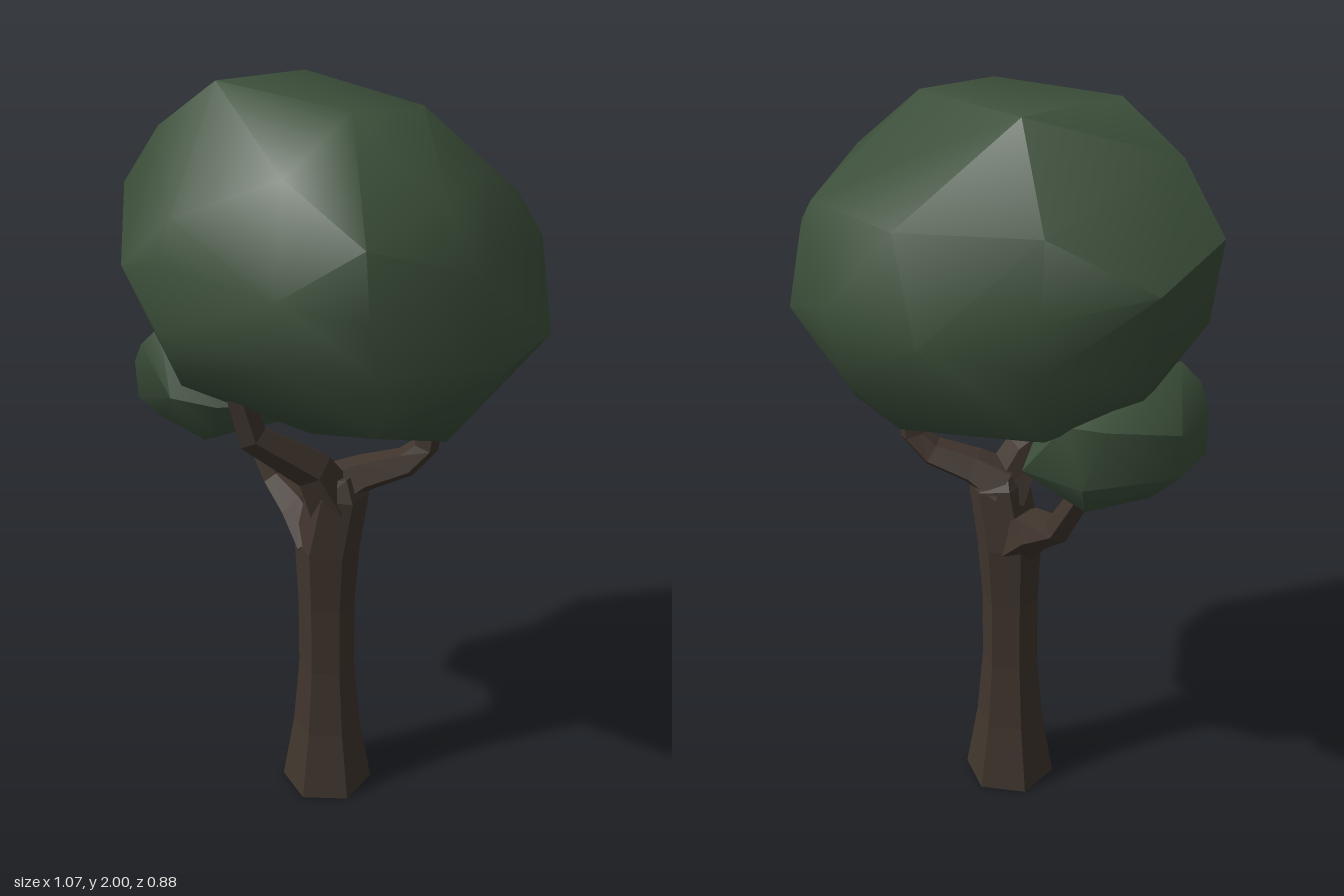
import * as THREE from 'three';
import { toCreasedNormals } from 'three/addons/utils/BufferGeometryUtils.js';
import { ConvexGeometry } from 'three/addons/geometries/ConvexGeometry.js';

const bark = new THREE.MeshStandardMaterial({ color: 0x40352d, flatShading: true });
const leaf = new THREE.MeshStandardMaterial({ color: 0x3c4f3a });

// Faceted limb: a ring of `sides` corners at every [x, y, z, radius] stop
function limb(name, stops, sides) {
  const points = stops.map(s => new THREE.Vector3(s[0], s[1], s[2]));
  const up = new THREE.Vector3(0, 1, 0);
  const pos = [], index = [];
  stops.forEach((s, i) => {
    const before = points[Math.max(i - 1, 0)];
    const after = points[Math.min(i + 1, points.length - 1)];
    const turn = new THREE.Quaternion().setFromUnitVectors(up, after.clone().sub(before).normalize());
    for (let j = 0; j < sides; j++) {
      const a = (j / sides) * Math.PI * 2;
      const v = new THREE.Vector3(Math.cos(a) * s[3], 0, Math.sin(a) * s[3]);
      pos.push(...v.applyQuaternion(turn).add(points[i]).toArray());
    }
  });
  const last = (stops.length - 1) * sides;
  const foot = stops.length * sides;
  pos.push(...points[0].toArray(), ...points[points.length - 1].toArray());
  for (let j = 0; j < sides; j++) {
    const k = (j + 1) % sides;
    for (let r = 0; r < last; r += sides) {
      index.push(r + j, r + sides + j, r + k, r + k, r + sides + j, r + sides + k);
    }
    index.push(foot, j, k, foot + 1, last + k, last + j);
  }
  const g = new THREE.BufferGeometry();
  g.setAttribute('position', new THREE.Float32BufferAttribute(pos, 3));
  g.setIndex(index);
  g.computeVertexNormals();
  const mesh = new THREE.Mesh(g, bark);
  mesh.name = name;
  return mesh;
}

// Corners of the crown, from its top to its underside
const crownCorners = [
  [-0.28, 2.0, -0.05], [-0.08, 1.99, -0.23], [0.21, 1.97, 0.05], [0.05, 1.98, 0.16],
  [0.37, 1.83, 0.06], [0.27, 1.79, 0.22], [0.45, 1.73, -0.09], [-0.43, 1.88, -0.1], [-0.1, 1.86, 0.28],
  [0.09, 1.74, 0.41], [-0.16, 1.78, -0.41], [0.2, 1.74, -0.31], [-0.36, 1.75, 0.22],
  [-0.41, 1.65, -0.37], [-0.38, 1.42, -0.32], [-0.16, 1.6, -0.438], [-0.16, 1.47, -0.435], [0.13, 1.5, -0.405],
  [0.38, 1.52, -0.26], [0.35, 1.33, -0.23], [0.48, 1.65, -0.1], [0.515, 1.46, -0.11], [0.505, 1.65, 0],
  [0.53, 1.44, 0.11], [0.42, 1.42, 0.28], [0.35, 1.64, 0.28], [0.1, 1.58, 0.435], [0.12, 1.45, 0.437],
  [-0.11, 1.62, 0.416], [-0.11, 1.47, 0.416], [-0.4, 1.65, 0.24], [-0.4, 1.48, 0.25],
  [-0.5, 1.6, 0.12], [-0.535, 1.72, -0.17], [-0.51, 1.48, -0.08],
  [-0.37, 1.29, 0.12], [0.11, 1.28, 0.38], [0.33, 1.26, 0.23], [0.37, 1.21, -0.07],
  [-0.16, 1.27, -0.355], [-0.37, 1.31, -0.2],
  [-0.1, 1.16, -0.15], [-0.05, 1.155, 0.1], [0.29, 1.14, 0.1], [0.25, 1.14, -0.1],
];

// Corners of the small clump, longer from its back to its right front
const clumpCorners = [
  [-0.45, 1.37, -0.07], [-0.32, 1.38, -0.15], [-0.2, 1.3, -0.33], [-0.5, 1.32, -0.07],
  [-0.525, 1.26, -0.1], [-0.525, 1.15, -0.12], [-0.47, 1.26, -0.25], [-0.47, 1.15, -0.26],
  [-0.3, 1.3, -0.345], [-0.25, 1.15, -0.36], [-0.1, 1.17, -0.32], [-0.11, 1.18, -0.02],
  [-0.3, 1.18, 0.01], [-0.42, 1.2, 0], [-0.47, 1.09, -0.13], [-0.35, 1.035, -0.1], [-0.3, 1.08, -0.04],
  [-0.22, 1.035, -0.2], [-0.25, 1.06, -0.3], [-0.4, 1.07, -0.22], [-0.13, 1.09, -0.12],
];

function foliage(name, corners) {
  const hull = new ConvexGeometry(corners.map(c => new THREE.Vector3(...c)));
  const mesh = new THREE.Mesh(toCreasedNormals(hull, 0.78), leaf);
  mesh.name = name;
  return mesh;
}

export function createModel() {
  const tree = new THREE.Group();
  tree.name = 'tree';

  // Six-sided trunk, flared at the root and leaning into the fork
  tree.add(limb('trunk', [
    [-0.018, 0, 0, 0.127], [-0.018, 0.2, 0, 0.094], [-0.018, 0.4, 0, 0.077],
    [-0.018, 0.6, 0, 0.077], [-0.016, 0.78, 0, 0.088], [0.014, 0.95, 0.01, 0.082], [0.01, 1.0, 0.01, 0.055],
  ], 6));

  // Branches bending up into the leaves
  tree.add(limb('frontBranch', [
    [0, 0.92, 0.01, 0.078], [-0.05, 1.03, 0.045, 0.058], [-0.2, 1.15, 0.11, 0.042], [-0.235, 1.3, 0.13, 0.034],
  ], 5));
  tree.add(limb('leftBranch', [
    [0, 0.95, 0, 0.07], [0.08, 0.995, 0, 0.052], [0.19, 1.03, 0, 0.042], [0.24, 1.08, 0, 0.036], [0.265, 1.25, 0, 0.03],
  ], 5));
  tree.add(limb('backBranch', [
    [-0.035, 0.79, -0.01, 0.075], [-0.095, 0.86, -0.07, 0.058], [-0.165, 0.91, -0.14, 0.038],
    [-0.225, 1.03, -0.175, 0.031], [-0.27, 1.15, -0.19, 0.03],
  ], 5));

  // Large crown and the small clump on the back branch
  tree.add(foliage('crown', crownCorners), foliage('smallClump', clumpCorners));
  return tree;
}
